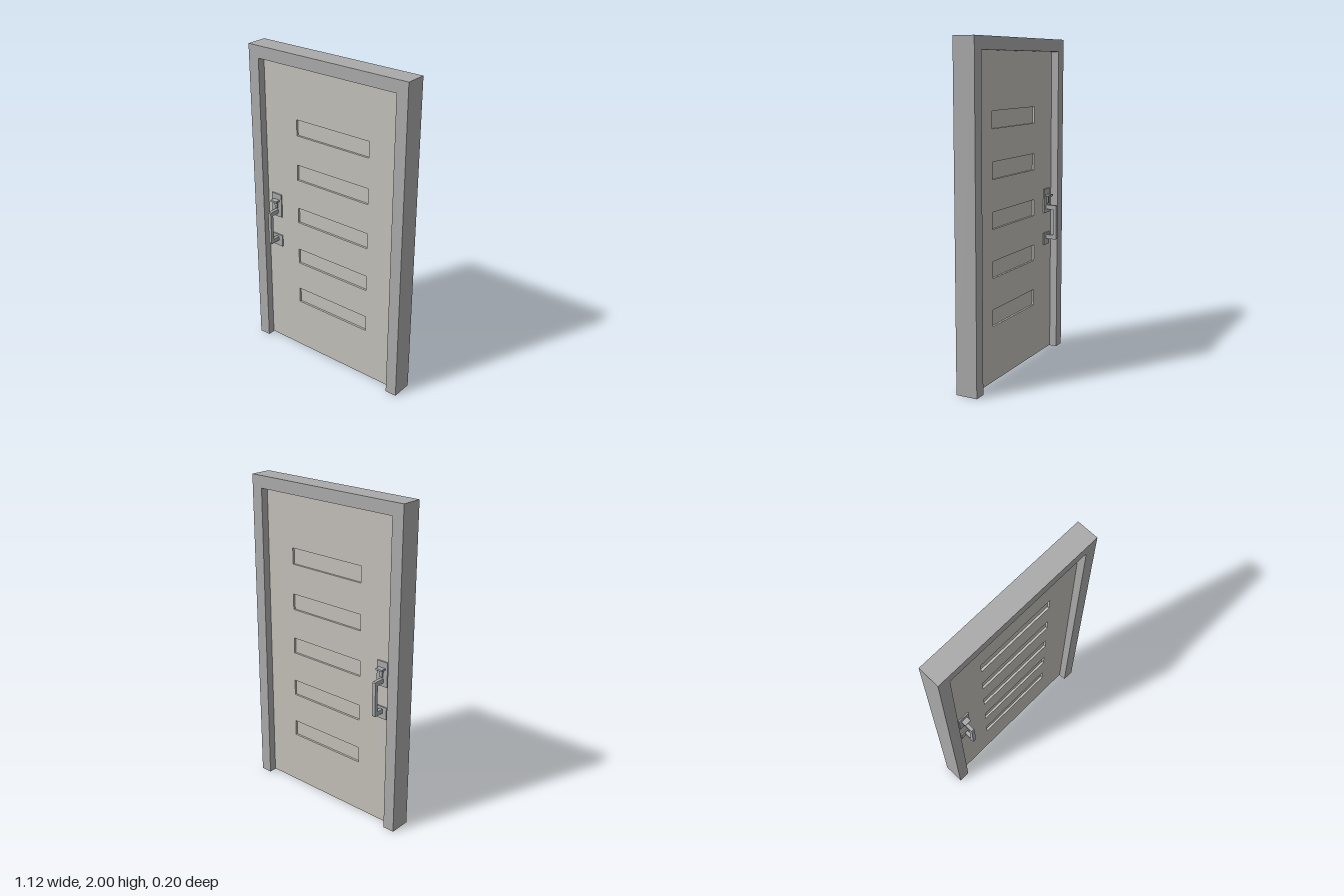
import * as THREE from 'three';

const frameMat = new THREE.MeshStandardMaterial({ name: 'frame grey', color: 0xaaaaaa });
const doorMat = new THREE.MeshStandardMaterial({ name: 'door warm grey', color: 0xc2bfb8 });
const metalMat = new THREE.MeshStandardMaterial({ name: 'handle metal', color: 0xa6a8a9 });

const W = 0.558, IN = 0.485, TOP = 2, IN_TOP = 1.925;
const FRAME_D = 0.133, DOOR_D = 0.038, RECESS = 0.013;

function shapeOf(points) {
  return new THREE.Shape(points.map(([x, y]) => new THREE.Vector2(x, y)));
}

// Extrusion centred on its depth axis
function slab(shape, depth) {
  const geo = new THREE.ExtrudeGeometry(shape, { depth, bevelEnabled: false });
  geo.translate(0, 0, -depth / 2);
  return geo;
}

function add(parent, name, geo, mat) {
  const mesh = new THREE.Mesh(geo, mat);
  mesh.name = name;
  parent.add(mesh);
  return mesh;
}

function box(parent, name, mat, [x0, x1], [y0, y1], [z0, z1]) {
  const mesh = add(parent, name, new THREE.BoxGeometry(x1 - x0, y1 - y0, z1 - z0), mat);
  mesh.position.set((x0 + x1) / 2, (y0 + y1) / 2, (z0 + z1) / 2);
  return mesh;
}

// Pull handle for one face, built outward along +z
function makeHandle(cx) {
  const handle = new THREE.Group();
  const z0 = DOOR_D / 2, z1 = 0.098, c = 0.005;
  const around = (w) => [cx - w / 2, cx + w / 2];
  box(handle, 'upperPlate', metalMat, around(0.076), [0.91, 1.065], [z0, z0 + 0.008]);
  box(handle, 'lowerPlate', metalMat, around(0.076), [0.703, 0.78], [z0, z0 + 0.008]);

  // C-shaped grip with clipped outer corners, drawn as (z, y)
  const grip = slab(shapeOf([
    [z0, 0.74], [z1 - c, 0.74], [z1, 0.74 + c], [z1, 0.96 - c], [z1 - c, 0.96], [z0, 0.96],
    [z0, 0.933], [z1 - 0.022, 0.933], [z1 - 0.022, 0.767], [z0, 0.767],
  ]), 0.022);
  grip.rotateY(-Math.PI / 2);
  add(handle, 'grip', grip, metalMat).position.x = cx;

  // Thumb latch above the grip
  box(handle, 'latchStem', metalMat, around(0.018), [0.97, 1.016], [z0, z0 + 0.018]);
  box(handle, 'thumbLatch', metalMat, around(0.046), [1.016, 1.027], [z0, z0 + 0.04]);
  return handle;
}

export function createModel() {
  const model = new THREE.Group();
  model.name = 'door';

  // Door frame: two jambs and a head in one piece
  add(model, 'frame', slab(shapeOf([
    [-W, 0], [-IN, 0], [-IN, IN_TOP], [IN, IN_TOP], [IN, 0], [W, 0], [W, TOP], [-W, TOP],
  ]), FRAME_D), frameMat);

  // Door leaf with five slots
  const leaf = shapeOf([[-IN, 0.004], [IN, 0.004], [IN, IN_TOP], [-IN, IN_TOP]]);
  const x0 = -0.243, x1 = 0.285, panelH = 0.1;
  for (let i = 0; i < 5; i++) {
    const y0 = 0.339 + i * 0.288, y1 = y0 + panelH;
    leaf.holes.push(new THREE.Path([
      new THREE.Vector2(x0, y0), new THREE.Vector2(x0, y1),
      new THREE.Vector2(x1, y1), new THREE.Vector2(x1, y0),
    ]));
    // Recessed panel, sunk on both faces
    const pz = DOOR_D / 2 - RECESS;
    box(model, 'recessedPanel', doorMat, [x0, x1], [y0, y1], [-pz, pz]);
  }
  add(model, 'doorLeaf', slab(leaf, DOOR_D), doorMat);

  // Matching handles on the front and back
  const front = makeHandle(-0.413);
  front.name = 'frontHandle';
  const back = makeHandle(0.413);
  back.name = 'backHandle';
  back.rotation.y = Math.PI;
  model.add(front, back);

  return model;
}
